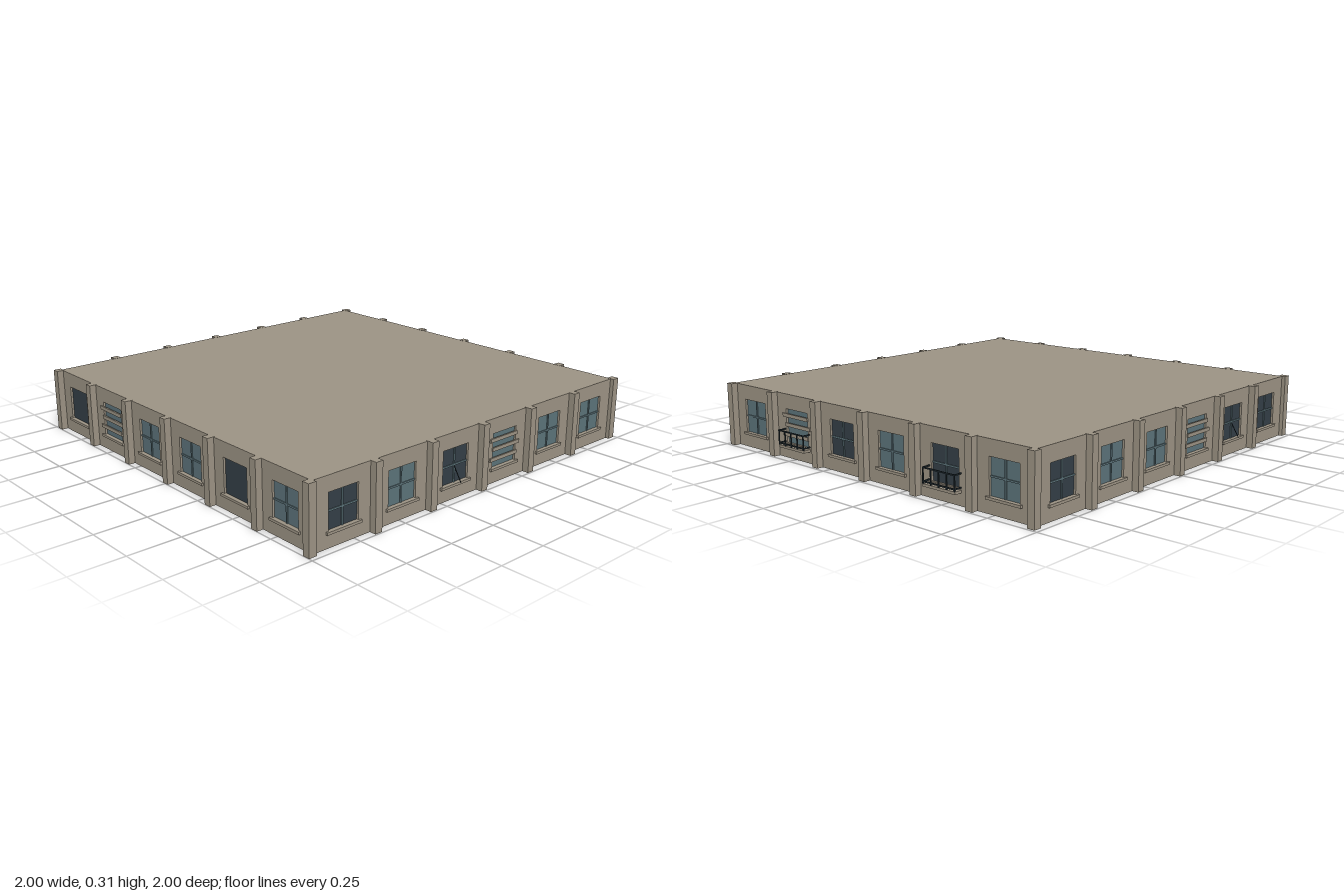
import * as THREE from 'three';

const HALF = 0.963, HEIGHT = 0.306, BAY = HALF / 3, REVEAL = 0.014;
const WIN_W = 0.157, WIN_BOTTOM = 0.073, WIN_TOP = 0.235;
const WIN_H = WIN_TOP - WIN_BOTTOM, WIN_Y = (WIN_TOP + WIN_BOTTOM) / 2;

const material = (name, color) => {
  const m = new THREE.MeshStandardMaterial({ color });
  m.name = name;
  return m;
};

export function createModel() {
  const stone = material('stone', 0x9c9384);
  const lightGlass = material('lightGlass', 0x5c737a);
  const darkGlass = material('darkGlass', 0x343f47);
  const iron = material('iron', 0x1f2a30);

  const box = (parent, name, mat, w, h, d, x, y, z) => {
    const mesh = new THREE.Mesh(new THREE.BoxGeometry(w, h, d), mat);
    mesh.name = name;
    mesh.position.set(x, y, z);
    parent.add(mesh);
    return mesh;
  };

  // Wall panel for one bay, with a window opening
  const panel = new THREE.Shape();
  panel.moveTo(-BAY / 2, 0).lineTo(BAY / 2, 0).lineTo(BAY / 2, HEIGHT).lineTo(-BAY / 2, HEIGHT).closePath();
  const hole = new THREE.Path();
  hole.moveTo(-WIN_W / 2, WIN_BOTTOM).lineTo(-WIN_W / 2, WIN_TOP)
    .lineTo(WIN_W / 2, WIN_TOP).lineTo(WIN_W / 2, WIN_BOTTOM).closePath();
  panel.holes.push(hole);
  const panelGeometry = new THREE.ExtrudeGeometry(panel, { depth: REVEAL, bevelEnabled: false });

  // Each bay is built facing +z, with the wall face at z = 0
  const addBalcony = (bay) => {
    const balcony = new THREE.Group();
    balcony.name = 'balcony';
    bay.add(balcony);
    box(balcony, 'balconySlab', stone, 0.184, 0.012, 0.038, 0, 0.062, 0.019);
    for (const y of [0.078, 0.137]) {
      box(balcony, 'frontRail', iron, 0.184, 0.006, 0.005, 0, y, 0.0375);
      for (const s of [-1, 1]) box(balcony, 'sideRail', iron, 0.005, 0.006, 0.038, s * 0.0895, y, 0.019);
    }
    for (let i = 0; i < 5; i++) {
      box(balcony, 'railPost', iron, 0.005, 0.07, 0.005, -0.0895 + i * 0.04475, 0.103, 0.0375);
    }
  };

  // Codes: L light, D dark, O dark without bars, B boarded; + adds a balcony, / adds a rod
  const makeBay = (code) => {
    const bay = new THREE.Group();
    bay.name = 'windowBay';
    const wall = new THREE.Mesh(panelGeometry, stone);
    wall.name = 'wallPanel';
    wall.position.z = -REVEAL;
    bay.add(wall);
    const type = code[0];
    const glass = type === 'L' || type === 'B' ? lightGlass : darkGlass;
    box(bay, 'windowPane', glass, WIN_W, WIN_H, 0.004, 0, WIN_Y, -REVEAL + 0.002);
    if (type === 'L' || type === 'D') {
      box(bay, 'verticalBar', lightGlass, 0.008, WIN_H, 0.006, 0, WIN_Y, -REVEAL + 0.005);
      box(bay, 'horizontalBar', lightGlass, WIN_W, 0.008, 0.006, 0, WIN_Y, -REVEAL + 0.005);
    }
    if (type === 'B') {
      [0.205, 0.161, 0.114].forEach((y, i) => {
        box(bay, 'board', stone, 0.18, 0.017, 0.008, i % 2 ? 0.008 : -0.008, y, 0.002);
      });
    }
    if (code.includes('+')) addBalcony(bay);
    else box(bay, 'windowSill', stone, 0.184, 0.012, 0.018, 0, 0.067, 0.001);
    if (code.includes('/')) {
      const rod = box(bay, 'windowRod', iron, 0.003, 0.085, 0.003, 0, 0.118, 0.012);
      rod.rotation.x = -0.55;
    }
    return bay;
  };

  const building = new THREE.Group();
  building.name = 'building';
  building.position.z = 0.004;
  const core = HALF - REVEAL;
  box(building, 'core', stone, core * 2, HEIGHT, core * 2, 0, HEIGHT / 2, 0);

  // Window lists run left to right as seen from outside
  const sides = [
    { name: 'frontSide', turn: 0, bays: ['O', 'B', 'L', 'L', 'O', 'L'] },
    { name: 'rightSide', turn: Math.PI / 2, bays: ['D', 'L', 'D/', 'B', 'L', 'L'] },
    { name: 'backSide', turn: Math.PI, bays: ['L', 'B+', 'D', 'L', 'D+', 'L'] },
    { name: 'leftSide', turn: -Math.PI / 2, bays: ['D', 'L', 'L', 'B', 'D/', 'D'] },
  ];
  sides.forEach(({ name, turn, bays }, index) => {
    const side = new THREE.Group();
    side.name = name;
    side.rotation.y = turn;
    bays.forEach((code, i) => {
      const bay = makeBay(code);
      bay.position.set((i - 2.5) * BAY, 0, HALF);
      side.add(bay);
    });
    // Pilasters between bays; the corner ones belong to front and back
    for (let i = -3; i <= 3; i++) {
      if (Math.abs(i) === 3 && index % 2) continue;
      box(side, 'pilaster', stone, 0.037, HEIGHT + 0.001, 0.038, i * BAY, (HEIGHT + 0.001) / 2, 0.976);
    }
    building.add(side);
  });

  const model = new THREE.Group();
  model.name = 'buildingStorey';
  model.add(building);
  return model;
}
